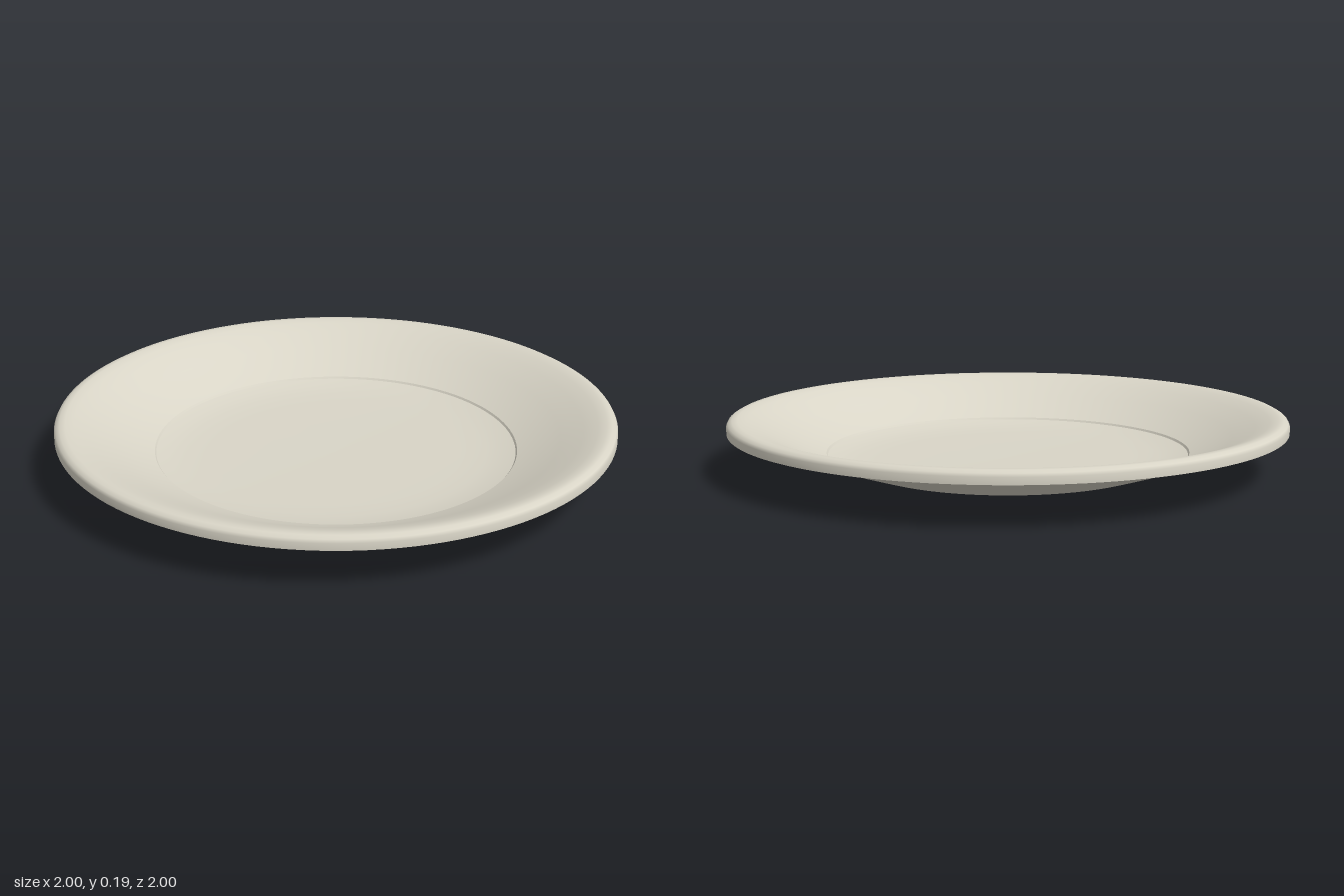
import * as THREE from 'three';

const SEGMENTS = 128;

// Revolves a radius/height profile; each section keeps its own smooth normals, so joints stay sharp.
function revolve(name, profile, material) {
  const points = profile.map(([r, y]) => new THREE.Vector2(r, y));
  const mesh = new THREE.Mesh(new THREE.LatheGeometry(points, SEGMENTS), material);
  mesh.name = name;
  return mesh;
}

export function createModel() {
  const group = new THREE.Group();
  group.name = 'plate';

  const glaze = new THREE.MeshStandardMaterial({ color: 0xd9d5c7 });
  glaze.name = 'cream glaze';

  group.add(
    // Underside, from the foot out to the lower edge of the rim
    revolve('underside', [
      [0, 0], [0.4, 0.003], [0.5, 0.008], [0.54, 0.015], [0.6, 0.034],
      [0.74, 0.08], [0.86, 0.12], [0.92, 0.134], [1, 0.15],
    ], glaze),
    // Rounded rim flowing into the sloping inner wall
    revolve('rimAndInnerWall', [
      [1, 0.15], [1, 0.175], [0.994, 0.186], [0.98, 0.194], [0.96, 0.195],
      [0.93, 0.187], [0.88, 0.168], [0.8, 0.13], [0.72, 0.092], [0.65, 0.065],
    ], glaze),
    // Small step around the well
    revolve('wellStep', [[0.65, 0.065], [0.645, 0.058]], glaze),
    // Shallow dished well
    revolve('well', [
      [0.645, 0.058], [0.6, 0.049], [0.54, 0.042], [0.45, 0.038], [0.25, 0.036], [0, 0.035],
    ], glaze),
  );
  return group;
}
